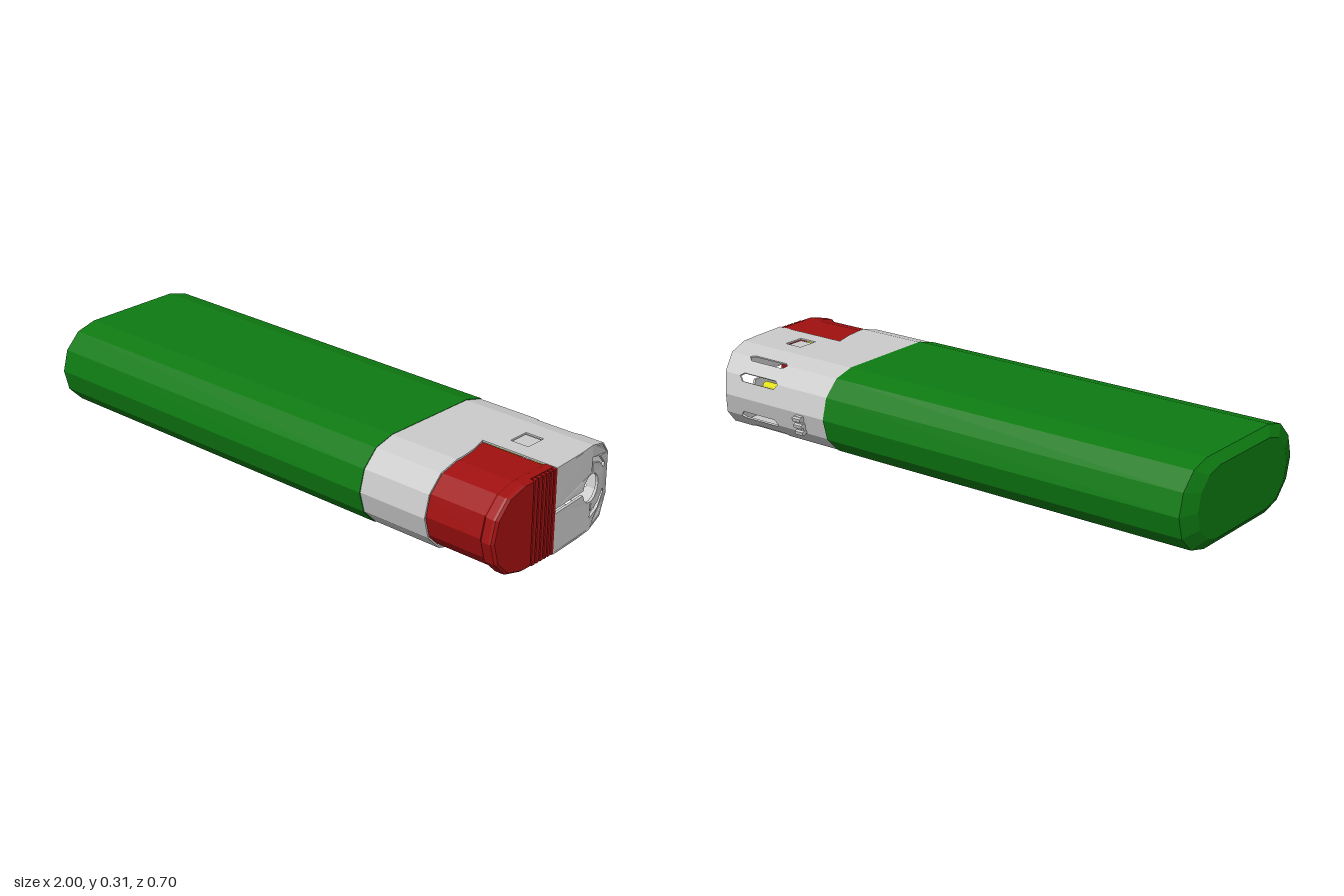
import * as THREE from 'three';

const R = 0.1525, HALF = 0.188, Z0 = 0.008, WALL = 0.006;
const material = (color) => new THREE.MeshStandardMaterial({ color, flatShading: true, side: THREE.DoubleSide });
const grey = material(0xcccccc), green = material(0x0e7a12), red = material(0xa01010), yellow = material(0xe0e010);

// One side of the stadium section as [z, y] points; side is 1 (front) or -1 (back)
function arc(side, k) {
  return Array.from({ length: 7 }, (_, i) => {
    const t = (i * Math.PI) / 6;
    return [Z0 + side * k * (HALF + R * Math.sin(t)), side * k * R * Math.cos(t)];
  });
}
const fullSection = (k) => [...arc(1, k), ...arc(-1, k)];
const frontSection = (zMin) => (k) => [[zMin, R * k], ...arc(1, k), [zMin, -R * k]];

// Closed solid through sections placed along x; rings are [x, scale]
function loft(section, rings) {
  const loops = rings.map(([x, k]) => section(k).map(([z, y]) => [x, y, z]));
  const n = loops[0].length, pos = [];
  const tri = (...p) => p.forEach((v) => pos.push(...v));
  for (let i = 0; i + 1 < loops.length; i++)
    for (let j = 0; j < n; j++) {
      const m = (j + 1) % n, a = loops[i], b = loops[i + 1];
      tri(a[j], a[m], b[m]);
      tri(a[j], b[m], b[j]);
    }
  const first = loops[0], last = loops[loops.length - 1];
  for (let j = 1; j + 1 < n; j++) {
    tri(first[0], first[j + 1], first[j]);
    tri(last[0], last[j], last[j + 1]);
  }
  const g = new THREE.BufferGeometry();
  g.setAttribute('position', new THREE.Float32BufferAttribute(pos, 3));
  g.computeVertexNormals();
  return g;
}

function add(parent, name, geometry, mat, x = 0, y = 0, z = 0) {
  const mesh = new THREE.Mesh(geometry, mat);
  mesh.name = name;
  mesh.position.set(x, y, z);
  parent.add(mesh);
  return mesh;
}

const box = (x, y, z) => new THREE.BoxGeometry(x, y, z);

// Curve of the hood's open end
const endCurve = [[0.03, 1], [-0.1, 0.992], [-0.18, 0.983], [-0.257, 0.97], [-0.312, 0.95], [-0.335, 0.93]];
function endX(z) {
  for (let i = 1; i < endCurve.length; i++) {
    const [z1, x1] = endCurve[i - 1], [z2, x2] = endCurve[i];
    if (z >= z2) return x1 + ((x2 - x1) * (z - z1)) / (z2 - z1);
  }
  return 0.93;
}

// Flat sheet between section points a and b, outlined with [x, z] points
function panel(parent, name, a, b, outline, holes = []) {
  const len = Math.hypot(b[0] - a[0], b[1] - a[1]);
  const flat = (pts) => pts.map(([x, z]) => new THREE.Vector2(x, ((z - a[0]) / (b[0] - a[0])) * len));
  const shape = new THREE.Shape(flat(outline));
  holes.forEach((h) => shape.holes.push(new THREE.Path(flat(h))));
  const g = new THREE.ExtrudeGeometry(shape, { depth: WALL, bevelEnabled: false });
  const X = new THREE.Vector3(1, 0, 0);
  const T = new THREE.Vector3(0, (b[1] - a[1]) / len, (b[0] - a[0]) / len);
  const N = new THREE.Vector3().crossVectors(X, T);
  const m = new THREE.Matrix4().makeBasis(X, T, N);
  m.setPosition(0, a[1] - N.y * WALL, a[0] - N.z * WALL);
  add(parent, name, g.applyMatrix4(m), grey);
}

const slot = (edge, depth) => [[0.7, edge], [0.715, depth], [0.865, depth], [0.88, edge]];

// Upper half of the sheet hood
function hoodHalf() {
  const half = new THREE.Group();
  const front = arc(1, 0.99), back = arc(-1, 0.99).reverse();
  const zf = front[0][0], zb = back[0][0];
  panel(half, 'hoodFlat', front[0], back[0], [
    [0.465, zf], [0.735, zf], [0.735, 0.17], [0.725, 0.1], [0.705, 0.03],
    [endX(0.03), 0.03], [endX(-0.1), -0.1], [endX(zb), zb], [0.465, zb],
  ], [[[0.77, -0.03], [0.84, -0.03], [0.84, -0.11], [0.77, -0.11]]]);
  add(half, 'windowRecess', box(0.09, 0.004, 0.1), grey, 0.805, 0.136, -0.07);
  for (let i = 0; i < 3; i++) {
    const f0 = front[i], f1 = front[i + 1];
    panel(half, 'hoodFrontFacet', f1, f0, [[0.465, f1[0]], [0.735, f1[0]], [0.735, f0[0]], [0.465, f0[0]]]);
    // Air slots straddle the folds between back facets
    const a = back[i], b = back[i + 1], za = a[0], z1 = b[0];
    const pts = [[0.465, za]];
    if (i > 0) pts.push(...slot(za, za - [0, 0.01, 0.005][i]));
    pts.push([endX(za), za], [endX(z1), z1]);
    if (i < 2) pts.push(...slot(z1, z1 + [0.011, 0.009][i]).reverse());
    pts.push([0.465, z1]);
    panel(half, 'hoodBackFacet', a, b, pts);
  }
  return half;
}

// Curved end plate with flame hole, slit and two bent vents
function endPlate() {
  const v = ([z, y]) => new THREE.Vector2(-z, y);
  const hole = Array.from({ length: 13 }, (_, i) => {
    const t = -0.16 - (i * (Math.PI * 2 - 0.32)) / 12;
    return [-0.18 + 0.05 * Math.cos(t), 0.05 * Math.sin(t)];
  });
  const top = 0.99 * R;
  const outline = [[0.03, -top], ...arc(-1, 0.99), [0.03, top], [0.03, 0.008], ...hole.reverse(), [0.03, -0.008]];
  const shape = new THREE.Shape(outline.map(v));
  const vent = [[-0.18, 0.108], [-0.235, 0.092], [-0.275, 0.052], [-0.268, 0.037],
    [-0.232, 0.072], [-0.186, 0.086], [-0.186, 0.055], [-0.18, 0.055]];
  for (const s of [1, -1]) shape.holes.push(new THREE.Path(vent.map(([z, y]) => v([z, s * y]))));
  const g = new THREE.ExtrudeGeometry(shape, { depth: 0.01, bevelEnabled: false }).rotateY(Math.PI / 2);
  const p = g.attributes.position;
  for (let i = 0; i < p.count; i++) p.setX(i, p.getX(i) + endX(p.getZ(i)) - 0.01);
  g.computeVertexNormals();
  return g;
}

export function createModel() {
  const model = new THREE.Group();
  model.name = 'lighter';
  const core = new THREE.Group();
  core.name = 'lighterParts';
  core.position.y = R;
  model.add(core);

  // Fuel body
  add(core, 'fuelBody', loft(fullSection, [[-1, 0.8], [-0.975, 1], [0.468, 1]]), green);

  // Metal hood
  const upper = hoodHalf(), lower = hoodHalf();
  upper.name = 'upperHood';
  lower.name = 'lowerHood';
  lower.scale.y = -1;
  core.add(upper, lower);
  add(core, 'hoodEndPlate', endPlate(), grey);
  add(core, 'innerDeck', loft(fullSection, [[0.46, 0.93], [0.69, 0.93]]), grey);

  // Clip with teeth on the lower back facet
  const clip = new THREE.Group();
  clip.name = 'backClip';
  clip.position.set(0.582, -0.042, -0.322);
  clip.rotation.x = -0.255;
  add(clip, 'clipPlate', box(0.03, 0.07, 0.012), grey);
  for (const y of [-0.027, 0, 0.027]) add(clip, 'clipTooth', box(0.036, 0.013, 0.022), grey, 0, y, -0.007);
  core.add(clip);

  // Valve nozzle and lever
  const nozzle = new THREE.CylinderGeometry(0.018, 0.018, 0.2, 16).rotateZ(Math.PI / 2);
  add(core, 'nozzle', nozzle, yellow, 0.78, 0, -0.18);
  add(core, 'nozzleCollar', new THREE.CylinderGeometry(0.045, 0.045, 0.06, 12).rotateZ(Math.PI / 2), grey, 0.72, 0, -0.18);
  add(core, 'valveLever', box(0.03, 0.05, 0.2), yellow, 0.77, 0, -0.09);
  add(core, 'leverFork', box(0.13, 0.285, 0.03), yellow, 0.785, 0, 0.025);

  // Thumb button with a flared rim and grip ribs
  add(core, 'buttonBody', loft(frontSection(0.032), [[0.7, 0.95], [0.95, 0.95]]), red);
  add(core, 'buttonRim', loft(frontSection(0.03), [[0.945, 0.95], [0.957, 0.985], [0.985, 0.985]]), red);
  add(core, 'buttonEnd', loft(frontSection(0.147), [[0.985, 0.985], [0.993, 0.98], [1, 0.95]]), red);
  const grooves = [0.027, 0.045, 0.063, 0.081, 0.101, 0.122, 0.144];
  for (let i = 0; i + 1 < grooves.length; i++) {
    const z1 = grooves[i] + 0.003, z2 = grooves[i + 1] - 0.003;
    add(core, 'gripRib', box(0.016, 0.296, z2 - z1), red, 0.992, 0, (z1 + z2) / 2);
  }
  return model;
}
